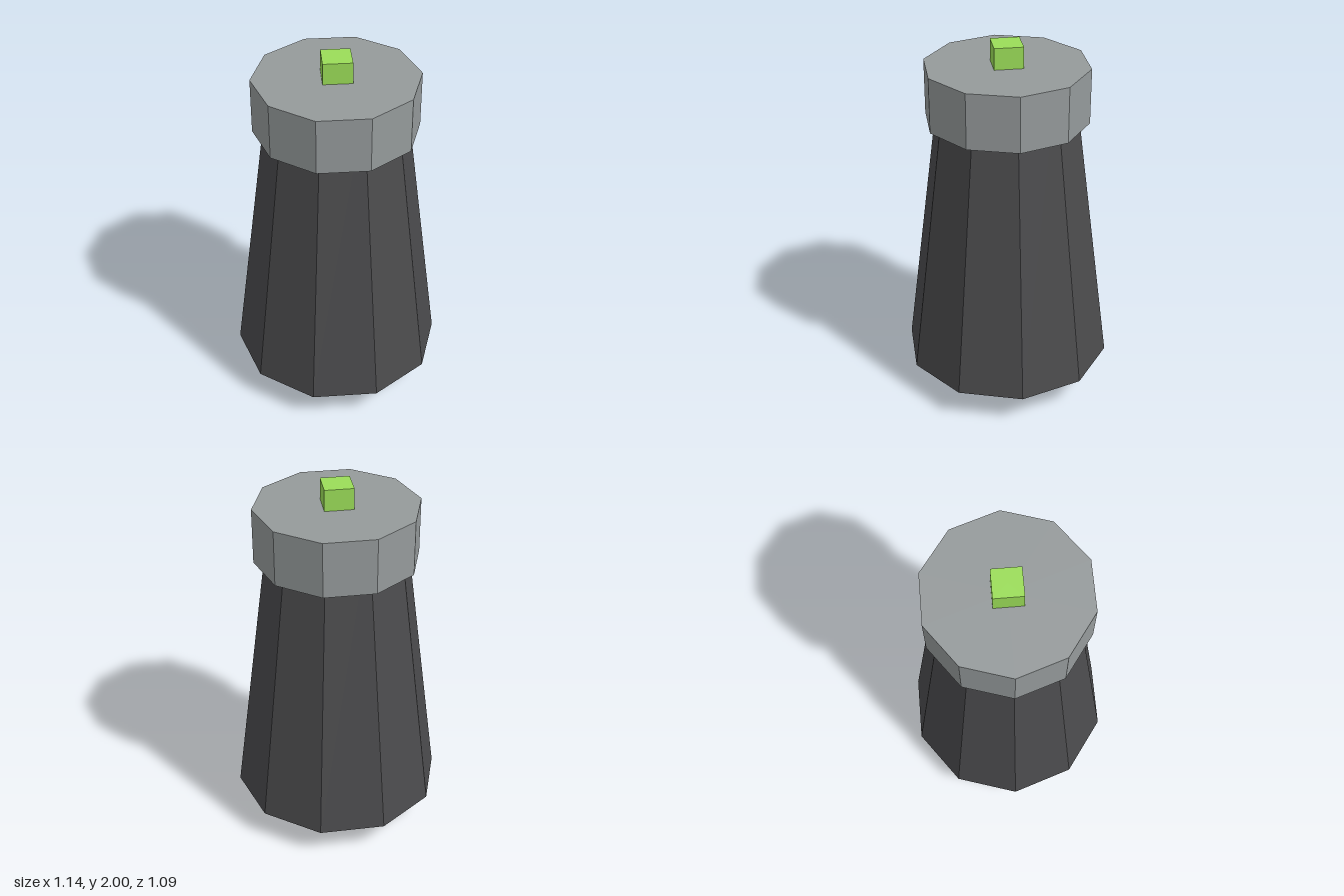
import * as THREE from 'three';

// Faceted, optionally tapered prism standing between heights y0 and y1
function prism(name, color, sides, start, rBottom, rTop, y0, y1) {
  const geometry = new THREE.CylinderGeometry(rTop, rBottom, y1 - y0, sides, 1, false, start);
  const material = new THREE.MeshStandardMaterial({ color, flatShading: true });
  const mesh = new THREE.Mesh(geometry, material);
  mesh.name = name;
  mesh.position.y = (y0 + y1) / 2;
  return mesh;
}

export function createModel() {
  const model = new THREE.Group();
  model.name = 'taperedCanister';

  const corner = Math.PI / 2; // decagons have a corner on the x axis
  const flat = Math.PI / 4; // square rod has flat sides facing the axes

  model.add(
    // Dark tapering body, its top end just inside the collar
    prism('body', 0x4b4b4d, 10, corner, 0.572, 0.345, 0.17, 1.884),
    // Grey collar around the top
    prism('collar', 0x959a9b, 10, corner, 0.438, 0.438, 1.585, 1.885),
    // Orange plate just under the body
    prism('basePlate', 0xe8963a, 10, corner, 0.42, 0.42, 0.095, 0.16),
    // Green square rod running through the whole model
    prism('rod', 0x9bdd58, 4, flat, 0.0875 * Math.SQRT2, 0.0765 * Math.SQRT2, 0, 2),
  );
  return model;
}
